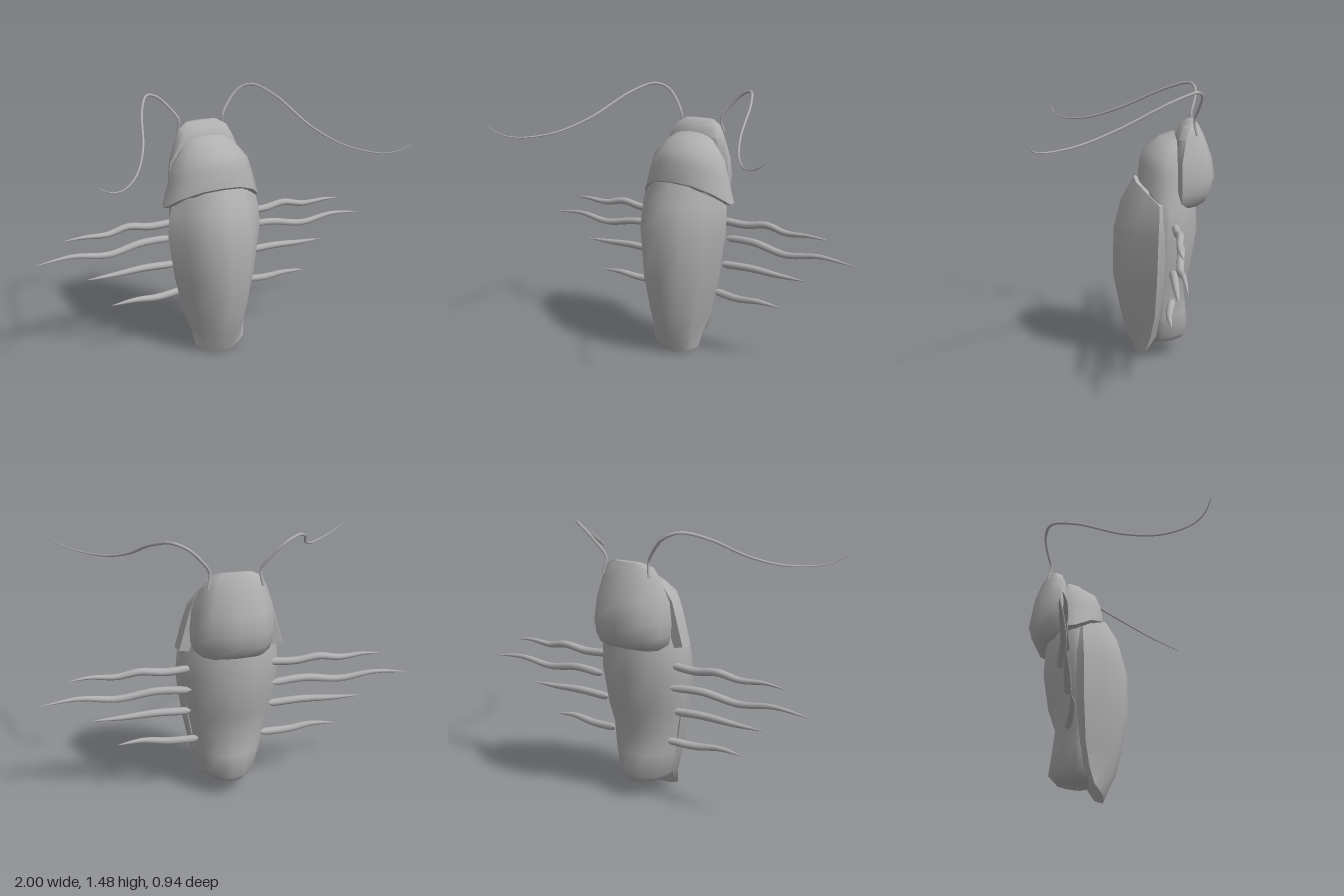
import * as THREE from 'three';
import { mergeVertices, toCreasedNormals } from 'three/addons/utils/BufferGeometryUtils.js';

const grey = new THREE.MeshStandardMaterial({ color: 0xb0b0b0 });
grey.name = 'grey';

// Loft a mirrored half-section through rows of
// [front y, side y, back y, half width, front z, side z, back z].
// Section points are [width factor, t], t = 1 front, 0 side, -1 back.
function loft(rows, half, crease) {
  const inner = half.slice(1, -1).reverse().map(([u, t]) => [-u, t]);
  const ring = [...half, ...inner];
  const n = ring.length;
  const pos = [];
  const index = [];
  const mix = (front, side, back, t) => side + (t > 0 ? front - side : side - back) * t;
  for (const [yf, ys, yb, w, zf, zs, zb] of rows) {
    for (const [u, t] of ring) pos.push(u * w, mix(yf, ys, yb, t), mix(zf, zs, zb, t));
  }
  for (let i = 0; i < rows.length - 1; i++) {
    for (let j = 0; j < n; j++) {
      const a = i * n + j, b = i * n + (j + 1) % n;
      index.push(a, b, b + n, a, b + n, a + n);
    }
  }
  // end caps
  for (const [i, flip] of [[0, true], [rows.length - 1, false]]) {
    const [yf, , yb, , zf, , zb] = rows[i];
    const c = pos.length / 3;
    pos.push(0, (yf + yb) / 2, (zf + zb) / 2);
    for (let j = 0; j < n; j++) {
      const a = i * n + j, b = i * n + (j + 1) % n;
      index.push(c, flip ? b : a, flip ? a : b);
    }
  }
  const geo = new THREE.BufferGeometry();
  geo.setAttribute('position', new THREE.Float32BufferAttribute(pos, 3));
  geo.setIndex(index);
  return toCreasedNormals(mergeVertices(geo), crease);
}

// Tube whose radius follows radiusAt(t) along a smooth path.
function taperedTube(points, side, segments, sides, radiusAt) {
  const path = new THREE.CatmullRomCurve3(
    points.map(([x, y, z]) => new THREE.Vector3(x * side, y, z)));
  const geo = new THREE.TubeGeometry(path, segments, 1, sides);
  const p = geo.attributes.position;
  const v = new THREE.Vector3();
  for (let i = 0; i < p.count; i++) {
    const t = Math.floor(i / (sides + 1)) / segments;
    const c = path.getPointAt(t);
    v.fromBufferAttribute(p, i).sub(c).multiplyScalar(radiusAt(t)).add(c);
    p.setXYZ(i, v.x, v.y, v.z);
  }
  return geo;
}

// Row with one height all round
const flat = (y, w, zf, zs, zb) => [y, y, y, w, zf, zs, zb];

export function createModel() {
  const model = new THREE.Group();
  model.name = 'insect';
  const add = (name, geo) => {
    const mesh = new THREE.Mesh(geo, grey);
    mesh.name = name;
    model.add(mesh);
  };

  // Wing case
  add('wingCase', loft([
    [0, 0.045, 0.07, 0.15, -0.045, -0.095, -0.11],
    flat(0.13, 0.165, 0.015, -0.12, -0.15),
    flat(0.25, 0.205, 0.045, -0.14, -0.17),
    flat(0.46, 0.248, 0.085, -0.15, -0.19),
    flat(0.71, 0.28, 0.08, -0.155, -0.2),
    [0.87, 0.82, 0.82, 0.27, 0.04, -0.16, -0.2],
    [0.99, 0.88, 0.88, 0.255, -0.03, -0.16, -0.2],
  ], [[0, 1], [0.44, 0.91], [0.76, 0.45], [1, 0], [0.9, -1], [0, -1]], 0.85));

  // Soft abdomen under the wing case
  add('abdomen', loft([
    flat(0.09, 0.12, -0.12, -0.19, -0.3),
    flat(0.13, 0.155, -0.1, -0.19, -0.335),
    flat(0.25, 0.185, -0.1, -0.19, -0.32),
    flat(0.38, 0.205, -0.1, -0.19, -0.305),
    flat(0.5, 0.23, -0.1, -0.2, -0.345),
    flat(0.7, 0.26, -0.1, -0.21, -0.375),
    flat(0.85, 0.255, -0.1, -0.22, -0.37),
    flat(0.95, 0.22, -0.1, -0.22, -0.36),
  ], [[0, 1], [0.8, 0.9], [1, 0.3], [0.97, 0], [0.8, -0.45], [0.42, -0.88], [0, -1]], 1.1));

  // Neck shield
  add('neckShield', loft([
    [0.96, 0.87, 0.86, 0.23, -0.09, -0.19, -0.255],
    [0.99, 0.87, 0.87, 0.288, -0.05, -0.2, -0.255],
    [1.09, 1.01, 1.0, 0.25, -0.06, -0.2, -0.255],
    [1.16, 1.1, 1.1, 0.22, -0.09, -0.2, -0.255],
    [1.215, 1.16, 1.16, 0.175, -0.17, -0.22, -0.255],
    [1.24, 1.2, 1.2, 0.14, -0.245, -0.25, -0.255],
  ], [[0, 1], [0.4, 0.92], [0.75, 0.55], [1, 0], [0.95, -1], [0, -1]], 0.95));

  // Head
  add('head', loft([
    flat(0.85, 0.18, -0.25, -0.28, -0.375),
    flat(0.88, 0.205, -0.25, -0.28, -0.425),
    flat(0.93, 0.22, -0.25, -0.28, -0.45),
    flat(1.0, 0.222, -0.25, -0.28, -0.467),
    flat(1.1, 0.212, -0.25, -0.28, -0.45),
    flat(1.21, 0.172, -0.255, -0.3, -0.41),
    flat(1.27, 0.142, -0.275, -0.32, -0.38),
    flat(1.3, 0.09, -0.325, -0.34, -0.36),
  ], [[0, 1], [0.85, 0.8], [1, 0], [0.9, -0.4], [0.64, -0.86], [0, -1]], 0.95));

  // Four pairs of legs
  const legs = [
    [[0.2, 0.762, -0.245], [0.35, 0.755, -0.25], [0.48, 0.772, -0.255], [0.6, 0.75, -0.245],
      [0.74, 0.757, -0.24], [0.85, 0.748, -0.25]],
    [[0.21, 0.652, -0.28], [0.4, 0.658, -0.265], [0.6, 0.627, -0.25], [0.8, 0.65, -0.255],
      [1.0, 0.63, -0.26]],
    [[0.21, 0.51, -0.235], [0.4, 0.517, -0.235], [0.58, 0.508, -0.235], [0.73, 0.505, -0.235]],
    [[0.17, 0.34, -0.235], [0.33, 0.332, -0.215], [0.47, 0.345, -0.205], [0.605, 0.335, -0.21]],
  ];
  const legRadius = t => 0.021 * Math.sqrt(Math.min(1, t / 0.05)) * (1 - 0.95 * t ** 3);

  // Pair of long feelers
  const feeler = [
    [0.14, 1.23, -0.36], [0.13, 1.31, -0.345], [0.175, 1.38, -0.365], [0.24, 1.445, -0.375],
    [0.31, 1.472, -0.345], [0.39, 1.43, -0.21], [0.48, 1.31, 0.05], [0.58, 1.245, 0.24],
    [0.7, 1.23, 0.39], [0.78, 1.247, 0.445], [0.845, 1.285, 0.468],
  ];
  const feelerRadius = t => 0.008 * (1 - 0.75 * t ** 3);

  for (const [side, label] of [[1, 'left'], [-1, 'right']]) {
    legs.forEach((pts, i) => add(`${label}Leg${i + 1}`, taperedTube(pts, side, 28, 10, legRadius)));
    add(`${label}Feeler`, taperedTube(feeler, side, 60, 6, feelerRadius));
  }
  return model;
}
